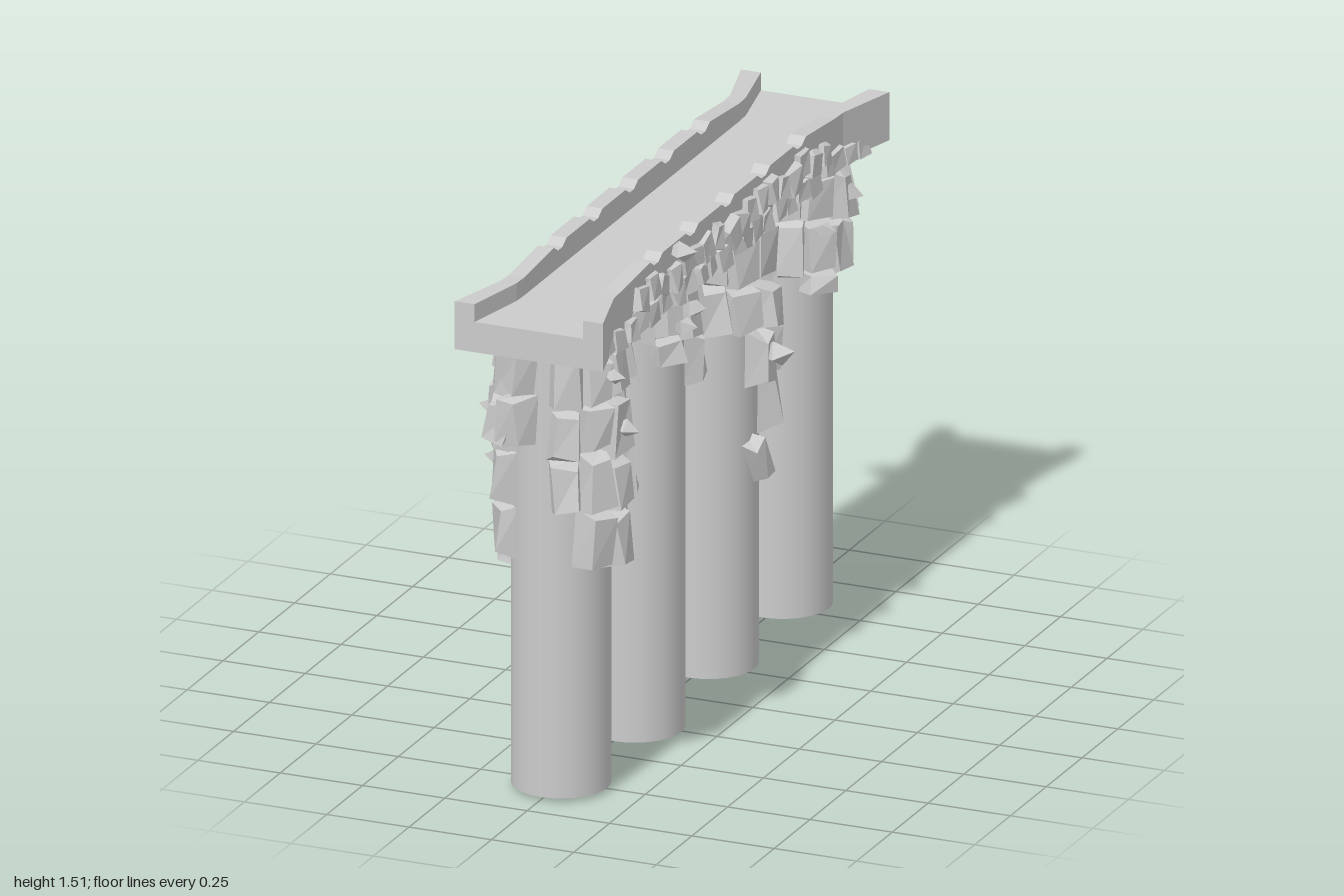
import * as THREE from 'three';

const CX = 0.005; // centre line of deck and piers
const PIERS = [0.775, 0.258, -0.256, -0.775];
const R = 0.14;

const smooth = new THREE.MeshStandardMaterial({ color: 0xcccccc, side: THREE.DoubleSide });
const flat = new THREE.MeshStandardMaterial({ color: 0xcccccc, flatShading: true });

let seed = 7;
function rnd(a, b) {
  seed = (seed * 16807) % 2147483647;
  return a + (b - a) * (seed / 2147483647);
}

function add(parent, name, geometry, material) {
  const mesh = new THREE.Mesh(geometry, material);
  mesh.name = name;
  parent.add(mesh);
  return mesh;
}

// Trough-shaped deck: U sections lofted along z, flared at both ends
function deckGeometry() {
  const stations = [[1, 0.225, 0.165, 1.483], [0.8, 0.172, 0.124, 1.483], [0.75, 0.17, 0.122, 1.483]];
  for (let i = 0; i < 5; i++) {
    const z = 0.5 - i * 0.25;
    for (const [dz, top] of [[0.045, 1.5], [0.015, 1.482], [-0.015, 1.482], [-0.045, 1.5]])
      stations.push([z + dz, 0.17, 0.122, top]);
  }
  stations.push([-0.75, 0.17, 0.122, 1.483], [-0.8, 0.172, 0.124, 1.483], [-1, 0.225, 0.165, 1.483]);
  const rings = stations.map(([z, o, i, t]) =>
    [[-o, 1.34], [o, 1.34], [o, t], [i, t], [i, 1.43], [-i, 1.43], [-i, t], [-o, t]]
      .map(([x, y]) => [x + CX, y, z]));
  const pos = [];
  const quad = (a, b, c, d) => pos.push(...a, ...b, ...c, ...a, ...c, ...d);
  for (let s = 0; s + 1 < rings.length; s++)
    for (let k = 0; k < 8; k++) {
      const n = (k + 1) % 8;
      quad(rings[s][k], rings[s + 1][k], rings[s + 1][n], rings[s][n]);
    }
  const f = rings[0], b = rings[rings.length - 1];
  for (const [p, q, r, t] of [[0, 1, 4, 5], [1, 2, 3, 4], [0, 5, 6, 7]]) {
    quad(f[p], f[q], f[r], f[t]);
    quad(b[t], b[r], b[q], b[p]);
  }
  const g = new THREE.BufferGeometry();
  g.setAttribute('position', new THREE.Float32BufferAttribute(pos, 3));
  g.computeVertexNormals();
  return g;
}

// Chipped block: a box whose outer (+z) face is smaller and skewed, deepest near its foot
function rockGeometry(w, h, d) {
  const g = new THREE.BoxGeometry(w, h, d).toNonIndexed();
  const p = g.attributes.position;
  const corners = Array.from({ length: 8 }, () => [rnd(-0.1, 0.1), rnd(-0.08, 0.08), rnd(-0.2, 0.15)]);
  for (let i = 0; i < p.count; i++) {
    const x = p.getX(i), y = p.getY(i), z = p.getZ(i);
    const j = corners[(x > 0 ? 1 : 0) + (y > 0 ? 2 : 0) + (z > 0 ? 4 : 0)];
    const k = z > 0 ? 0.78 : 1;
    const foot = z > 0 && y > 0 ? -0.15 : 0;
    p.setXYZ(i, x * k + j[0] * w, y * k + j[1] * h, z + (z > 0 ? (j[2] + foot) * d : 0));
  }
  g.computeVertexNormals();
  return g;
}

function placeRock(parent, name, x, y, z, heading, tilt, size) {
  const rock = add(parent, name, rockGeometry(...size), flat);
  rock.position.set(x, y, z);
  rock.rotation.set(0, heading, tilt, 'YXZ');
  return rock;
}

// Columns of blocks hugging one side of a pier; bottoms run from +z to -z
function pierRocks(parent, side, pierZ, bottoms) {
  const group = new THREE.Group();
  group.name = 'pierRocks';
  parent.add(group);
  bottoms.forEach((bottom, c) => {
    const a = 1.08 - c * 0.54;
    const dx = side * Math.cos(a), dz = Math.sin(a);
    let top = 1.35 - rnd(0, 0.02);
    while (top - bottom > 0.06) {
      const h = Math.min(rnd(0.14, 0.18), top - bottom);
      const depth = rnd(0.06, 0.085);
      const r = R - 0.015 + depth / 2;
      placeRock(group, 'pierRock', CX + dx * r, top - h / 2, pierZ + dz * r,
        Math.atan2(dx, dz) + rnd(-0.15, 0.15), rnd(-0.06, 0.06), [rnd(0.085, 0.105), h, depth]);
      top -= h;
    }
  });
}

// Rubble along one edge of the deck
function deckRocks(parent, side) {
  const group = new THREE.Group();
  group.name = 'deckRocks';
  parent.add(group);
  for (let z = 0.62; z > -0.66; z -= 0.075)
    placeRock(group, 'deckRock', CX + side * 0.172, rnd(1.40, 1.435), z + rnd(-0.01, 0.01),
      side * Math.PI / 2 + rnd(-0.1, 0.1), rnd(-0.3, 0.3), [rnd(0.065, 0.09), rnd(0.07, 0.09), rnd(0.04, 0.06)]);
  for (let z = 0.86; z > -0.9; z -= 0.08)
    placeRock(group, 'lowerDeckRock', CX + side * 0.168, rnd(1.345, 1.37), z + rnd(-0.01, 0.01),
      side * Math.PI / 2 + rnd(-0.15, 0.15), rnd(-0.2, 0.2), [rnd(0.07, 0.095), rnd(0.06, 0.08), rnd(0.04, 0.065)]);
}

export function createModel() {
  const model = new THREE.Group();
  model.name = 'bridge';
  add(model, 'deck', deckGeometry(), flat);

  // Open tubular piers
  PIERS.forEach((z, i) => {
    const foot = i === 1 ? 0 : 0.012;
    const pier = add(model, 'pier', new THREE.CylinderGeometry(R, R, 1.35 - foot, 32, 1, true), smooth);
    pier.position.set(CX, (1.35 + foot) / 2, z);
  });

  // Blocks around the pier heads, hanging lower on some piers
  const leftBottoms = [
    [0.85, 0.66, 0.66, 0.68, 0.98], [1.17, 1.12, 1.16, 0.99, 1.02],
    [1.0, 0.98, 0.84, 0.68, 0.8], [0.98, 0.98, 1.0, 0.98, 1.0]];
  const rightBottoms = [
    [1.03, 0.66, 0.65, 0.67, 0.85], [1.0, 1.02, 1.0, 1.12, 1.17],
    [1.02, 1.0, 1.0, 1.1, 1.15], [0.85, 0.68, 0.82, 1.0, 1.02]];
  PIERS.forEach((z, i) => {
    pierRocks(model, 1, z, leftBottoms[i]);
    pierRocks(model, -1, z, rightBottoms[i]);
  });
  deckRocks(model, 1);
  deckRocks(model, -1);

  // Large slab at the front and two loose blocks slipping down
  placeRock(model, 'frontSlab', -0.105, 1.11, 0.9, -0.55, 0, [0.13, 0.13, 0.08]);
  placeRock(model, 'looseRock', 0.152, 0.64, -0.245, Math.PI / 2, 0.4, [0.06, 0.15, 0.07]);
  placeRock(model, 'looseRock', -0.15, 0.58, -0.74, -Math.PI / 2, -0.2, [0.07, 0.15, 0.07]);

  // Pointed stones sticking outwards: x, y, z, size
  const spikes = [
    [0.2, 1.09, 0.77, 0.03], [0.2, 1.48, 0.38, 0.035], [0.195, 1.28, 0.29, 0.03], [0.2, 1.25, 0.36, 0.03],
    [0.215, 0.96, -0.255, 0.04], [0.2, 1.26, -0.775, 0.035], [0.2, 1.2, -0.62, 0.025], [0.2, 1.27, 0.85, 0.025],
    [-0.21, 1.27, -0.8, 0.04], [-0.195, 1.1, -0.39, 0.03], [-0.2, 1.2, -0.22, 0.03], [-0.22, 1.27, 0.19, 0.03],
    [-0.2, 1.1, 0.26, 0.03], [-0.205, 0.92, 0.7, 0.04], [-0.2, 1.1, 0.78, 0.03]];
  for (const [x, y, z, s] of spikes) {
    const spike = add(model, 'pointedStone', new THREE.OctahedronGeometry(s), flat);
    spike.position.set(x, y, z);
    spike.scale.x = 1.4;
    spike.rotation.set(rnd(0, 0.8), 0, rnd(-0.3, 0.3));
  }
  return model;
}
